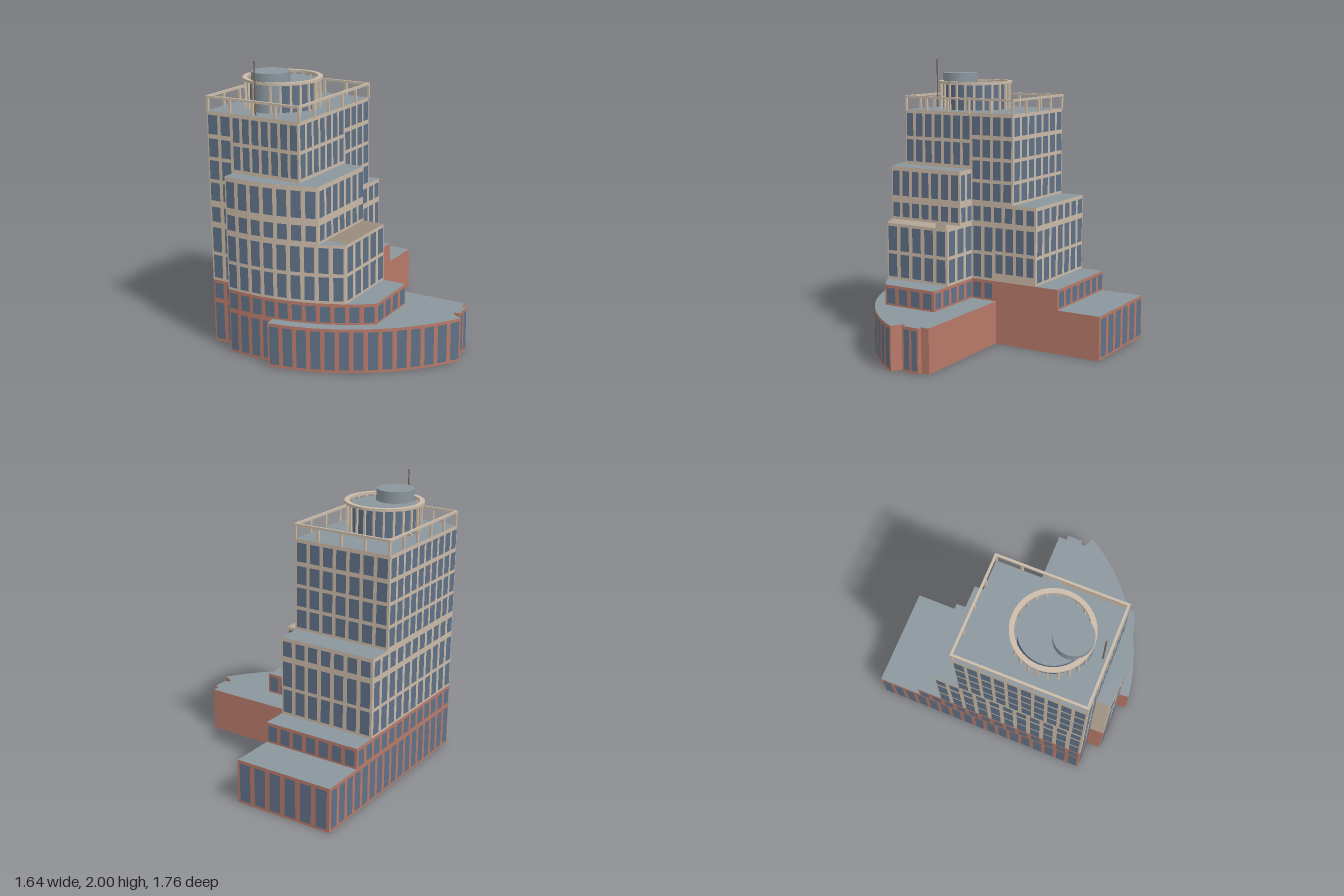
import * as THREE from 'three';

const mat = (name, color, side = THREE.FrontSide) => {
  const m = new THREE.MeshStandardMaterial({ color, side });
  m.name = name;
  return m;
};

export function createModel() {
  const model = new THREE.Group();
  model.name = 'steppedOfficeTower';
  const brick = mat('brick', 0xb87a69, THREE.DoubleSide);
  const stone = mat('paleStone', 0xcabaa8, THREE.DoubleSide);
  const roof = mat('roofGrey', 0x8b969d, THREE.DoubleSide);
  const glass = mat('blueGlass', 0x5f7186);
  const metal = mat('mastBrown', 0x75675b);

  const add = (name, geo, material, x = 0, y = 0, z = 0, parent = model) => {
    const mesh = new THREE.Mesh(geo, material);
    mesh.name = name;
    mesh.position.set(x, y, z);
    parent.add(mesh);
    return mesh;
  };

  // Upright rectangle between two plan points, facing out of a clockwise plan
  const quad = (out, [ax, az], [bx, bz], y0, y1) => out.push(
    ax, y0, az, ax, y1, az, bx, y1, bz, ax, y0, az, bx, y1, bz, bx, y0, bz);
  const fromQuads = (pos) => {
    const geo = new THREE.BufferGeometry();
    geo.setAttribute('position', new THREE.Float32BufferAttribute(pos, 3));
    geo.computeVertexNormals();
    return geo;
  };

  // Tier: walls around a plan outline, open below, with an optional flat roof
  const tier = (name, material, plan, y0, y1, hasRoof = true) => {
    const pos = [];
    plan.forEach((p, i) => quad(pos, p, plan[(i + 1) % plan.length], y0, y1));
    add(name + 'Walls', fromQuads(pos), material);
    if (!hasRoof) return;
    const shape = new THREE.Shape(plan.map(([x, z]) => new THREE.Vector2(x, -z)));
    add(name + 'Roof', new THREE.ShapeGeometry(shape).rotateX(-Math.PI / 2), roof, 0, y1);
  };

  // Windows: n panes per wall segment in each row, just proud of the wall
  const glaze = (name, runs, rows, fill = 0.7) => {
    const pos = [];
    for (const [line, n] of runs) {
      for (let i = 0; i + 1 < line.length; i++) {
        const [ax, az] = line[i], dx = line[i + 1][0] - ax, dz = line[i + 1][1] - az;
        const len = Math.hypot(dx, dz), ox = dz / len * 0.004, oz = -dx / len * 0.004;
        const at = (t) => [ax + dx * t + ox, az + dz * t + oz];
        for (let k = 0; k < n; k++) {
          for (const [y0, y1] of rows) {
            quad(pos, at((k + 0.5 - fill / 2) / n), at((k + 0.5 + fill / 2) / n), y0, y1);
          }
        }
      }
    }
    add(name + 'Windows', fromQuads(pos), glass);
  };

  // Curved front: faceted arc about a shared centre, from x0 back to x1
  const CX = -0.44, CZ = -0.59;
  const arc = (r, x0, x1, n) => {
    const a0 = Math.acos((x0 - CX) / r), a1 = Math.acos((x1 - CX) / r);
    return Array.from({ length: n + 1 }, (_, i) => {
      const a = a0 + (a1 - a0) * i / n;
      return [CX + r * Math.cos(a), CZ + r * Math.sin(a)];
    });
  };
  const L = -0.82, W = -0.11, F = 0.7, N = 0.135, R = 1.4;
  const frontLeft = [[-0.62, F], [L, F]];

  // Brick podium with the broad curved frontage and rear wing
  const bigArc = arc(1.476, 0.82, -0.26, 14);
  const innerArc = arc(R, -0.265, -0.62, 4);
  const lobby = [[0.74, -0.01], [0.775, -0.01], [0.775, 0.11], [0.745, 0.11], [0.745, 0.14]];
  tier('podium', brick, [[L, -0.875], [W, -0.88], [W, -0.065], [0.74, -0.07],
    ...lobby, ...bigArc, ...innerArc, ...frontLeft], 0, 0.31);
  glaze('podium', [[bigArc, 1], [innerArc, 1], [frontLeft, 2], [[[L, F], [L, -0.875]], 17],
    [[[L, -0.875], [W, -0.88]], 6], [[lobby[1], lobby[2]], 2]], [[0.02, 0.29]]);

  // Stepped tiers that share the narrower curve
  const stepped = (name, material, back, right, n, y0, y1, hasRoof, inner = W) => {
    const curve = arc(R, right, -0.62, n);
    tier(name, material, [[L, back], [inner, back], [inner, N], [right, N], ...curve, ...frontLeft],
      y0, y1, hasRoof);
    return { curve, side: [[right, N], curve[0]], rear: [[inner, N], [right, N]] };
  };

  const t2 = stepped('brickStep', brick, -0.56, 0.38, 11, 0.31, 0.455, true);
  glaze('brickStep', [[t2.curve, 1], [t2.side, 4], [t2.rear, 5], [frontLeft, 2],
    [[[L, F], [L, -0.56]], 13], [[[L, -0.56], [W, -0.56]], 7], [[[W, -0.05], [W, N]], 2]],
  [[0.325, 0.435]]);

  const t3 = stepped('lowerStone', stone, -0.385, 0.21, 9, 0.455, 0.86, false);
  glaze('lowerStone', [[t3.curve, 1], [t3.side, 5], [t3.rear, 3], [frontLeft, 2],
    [[[L, F], [L, -0.385]], 11], [[[L, -0.385], [W, -0.385]], 7], [[[W, -0.05], [W, N]], 2]],
  [[0.475, 0.64], [0.665, 0.84]]);
  glaze('lowerStoneWing', [[[[W, -0.385], [W, -0.05]], 4]], [[0.515, 0.65], [0.675, 0.84]]);

  const t4 = stepped('middleStone', stone, -0.385, 0.05, 7, 0.86, 1.01, true);
  glaze('middleStone', [[t4.curve, 1], [t4.side, 7], [t4.rear, 2], [frontLeft, 2],
    [[[L, F], [L, -0.385]], 11], [[[L, -0.385], [W, -0.385]], 7], [[[W, -0.385], [W, N]], 6]],
  [[0.88, 0.985]]);

  const E = -0.1, B = -0.205;
  const t5 = stepped('upperStone', stone, B, 0.05, 7, 1.01, 1.245, true, E);
  glaze('upperStone', [[t5.curve, 1], [t5.side, 7], [t5.rear, 2]], [[1.035, 1.215]]);

  // Tower shaft
  tier('tower', stone, [[L, B], [E, B], [E, F], [L, F]], 1.245, 1.645);
  glaze('towerTall', [[frontLeft, 2], [[[L, F], [L, B]], 10], [[[L, B], [E, B]], 7],
    [[[E, B], [E, N]], 4]], [[1.03, 1.155], [1.18, 1.31], [1.335, 1.46], [1.49, 1.62]], 0.74);
  glaze('towerFront', [[[[E, F], [-0.62, F]], 7], [[[E, N], [E, F]], 7]],
    [[1.27, 1.43], [1.455, 1.62]]);

  // Rooftop frame of posts and rails
  const frame = new THREE.Group();
  frame.name = 'roofFrame';
  model.add(frame);
  const x0 = L + 0.007, x1 = E, z0 = B, z1 = F - 0.007, t = 0.016;
  const post = new THREE.BoxGeometry(t, 0.1, t);
  for (const z of [z0, z1]) {
    add('frameRail', new THREE.BoxGeometry(x1 - x0 + t, t, t), stone, (x0 + x1) / 2, 1.74, z, frame);
    for (let i = 0; i <= 4; i++) add('framePost', post, stone, x0 + (x1 - x0) * i / 4, 1.69, z, frame);
  }
  for (const x of [x0, x1]) {
    add('frameRail', new THREE.BoxGeometry(t, t, z1 - z0), stone, x, 1.74, (z0 + z1) / 2, frame);
    for (let i = 1; i < 5; i++) add('framePost', post, stone, x, 1.69, z0 + (z1 - z0) * i / 5, frame);
  }

  // Round glazed lounge with a colonnade and ring
  const lounge = new THREE.Group();
  lounge.name = 'roundLounge';
  lounge.position.set(-0.46, 1.645, 0.325);
  model.add(lounge);
  add('loungeGlass', new THREE.CylinderGeometry(0.222, 0.222, 0.18, 40, 1, true), glass, 0, 0.09, 0, lounge);
  add('loungeRoof', new THREE.CircleGeometry(0.222, 40).rotateX(-Math.PI / 2), roof, 0, 0.18, 0, lounge);
  const ring = [[0.237, 0.187], [0.27, 0.187], [0.27, 0.205], [0.237, 0.205], [0.237, 0.187]];
  add('loungeRing', new THREE.LatheGeometry(ring.map((p) => new THREE.Vector2(...p)), 40)
    .toNonIndexed(), stone, 0, 0, 0, lounge).geometry.computeVertexNormals();
  for (let i = 0; i < 24; i++) {
    const a = i / 24 * Math.PI * 2;
    add('loungeColumn', new THREE.BoxGeometry(0.014, 0.19, 0.014), stone,
      0.253 * Math.cos(a), 0.095, 0.253 * Math.sin(a), lounge).rotation.y = -a;
  }

  // Plant drum and mast
  add('plantDrum', new THREE.CylinderGeometry(0.13, 0.13, 0.26, 32), roof, -0.465, 1.775, 0.46);
  add('mast', new THREE.CylinderGeometry(0.005, 0.005, 0.355, 8), metal, -0.455, 1.8225, 0.66);

  return model;
}
